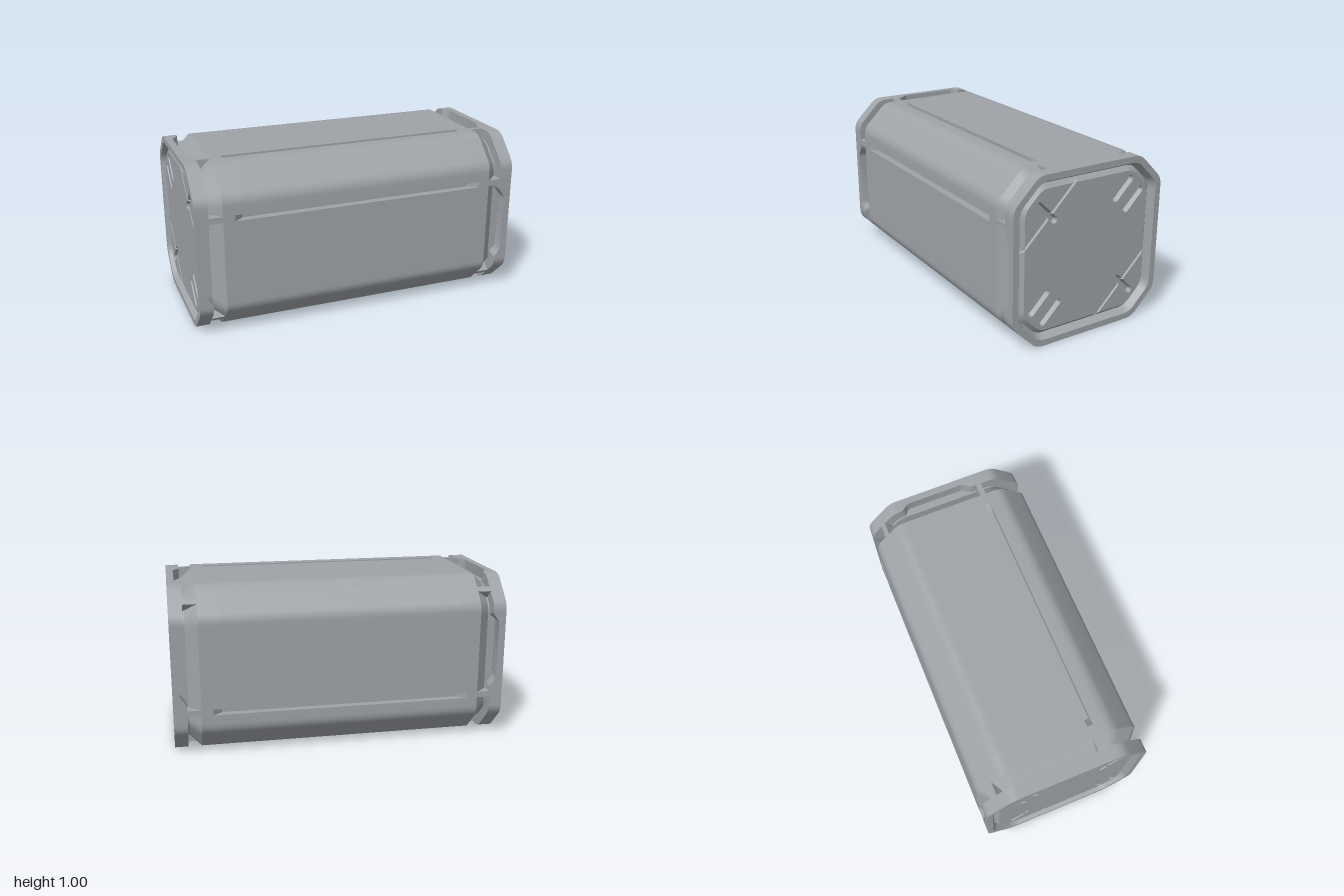
import * as THREE from 'three';
import { toCreasedNormals } from 'three/addons/utils/BufferGeometryUtils.js';

const steel = new THREE.MeshStandardMaterial({ color: 0x9fa3a8 });
const steelOpen = new THREE.MeshStandardMaterial({ color: 0x9fa3a8, side: THREE.DoubleSide });

const R = 0.1;                 // corner rounding
const T8 = Math.tan(Math.PI / 8);
const PANEL_X = 0.98, PANEL_INSET = 0.085, POCKET = 0.025;
const LINE_W = 0.0113;         // half width of the diagonal line at the panel edge

// Rounded octagon in (a = -z, b = y - 0.5). Each point carries its inset direction
// (ma, mb), a notch amount for the end frames and flags for slots, bridges and lines.
function outline() {
  const pts = [];
  for (let k = 0; k < 8; k++) {
    const th = k * Math.PI / 4, c = Math.cos(th), s = Math.sin(th);
    const flat = k % 2 === 0, flip = k % 4 === 0 ? -1 : 1;
    const d = flat ? 0.5 : 0.84 / Math.SQRT2;
    const h = (flat ? 0.34 : 0.16 / Math.SQRT2) - R * T8;
    const lim = flat ? 0.2425 : 0.0175;
    const strip = (m, w, slot) => [
      [m - w, {}], [m - w, { bridge: true, slot }], [m + w, { bridge: true, slot }], [m + w, {}]];
    const line = o => [0.0984 + o, { notch: 1, deep: o === 0, slide: flip * (-0.025 - o) }];
    const notch = o => [o - 0.055, { notch: 1 - THREE.MathUtils.smoothstep(Math.abs(o), 0.17, 0.24) }];
    let list = [[-h, {}]];
    if (flat) {
      list.push(...[-0.24, -0.225, -0.21, -0.19, -0.17].map(notch));
      list.push(...[-LINE_W, 0, LINE_W].map(line));
      list.push(...[0.17, 0.19, 0.21, 0.225, 0.24].map(notch));
      list.push(...strip(0.225, 0.0175, true));
    } else if (k % 4 === 1) list.push(...strip(0, 0.0175, false));
    list.push([h, {}]);
    if (flip < 0) list = list.reverse().map(([t, e]) => [-t, e]);
    for (const [t, e] of list) {
      // points near a corner drift inward so the rounding stays constant
      const g = Math.sign(t) * T8 * THREE.MathUtils.clamp((Math.abs(t) - lim) / (h - lim), 0, 1);
      pts.push({ a: d * c - t * s, b: d * s + t * c, ma: c - g * s, mb: s + g * c, ta: -s, tb: c, ...e });
    }
    // rounded corner to the next face
    const ca = (d - R) * c - h * s, cb = (d - R) * s + h * c, mid = th + Math.PI / 8;
    const reach = 1 / Math.cos(Math.PI / 8);
    for (let i = 1; i < 6; i++) {
      const f = th + i / 6 * Math.PI / 4;
      pts.push({ a: ca + R * Math.cos(f), b: cb + R * Math.sin(f),
        ma: reach * Math.cos(mid), mb: reach * Math.sin(mid) });
    }
  }
  return pts;
}

const inset = (p, d, slide = 0) => [
  p.a - d * p.ma + (slide ? slide * p.ta : 0), p.b - d * p.mb + (slide ? slide * p.tb : 0)];

// Shell: stations run from the end panel edge, over the rim and groove, to the middle
function shellGeometry(pts) {
  const wallX = p => 0.92 + 0.037 * (p.notch || 0);
  const groove = p => (p.bridge ? 0 : 0.065);
  const half = [
    p => [p.deep ? PANEL_X - POCKET : PANEL_X, PANEL_INSET],
    p => [PANEL_X - POCKET, 0.06, p.slide],
    () => [1, 0.037],
    () => [1, 0],
    p => [wallX(p), 0],
    p => [wallX(p), groove(p)],
    p => [0.91, groove(p)],
    () => [0.84, 0],
    () => [0.77, 0],
    p => [0.718, p.slot ? 0.045 : 0],
  ];
  const mirrored = [...half].reverse().map(f => p => { const [x, ...rest] = f(p); return [-x, ...rest]; });
  const grid = [...half, ...mirrored].map(f => pts.map(p => {
    const [x, d, slide] = f(p), [a, b] = inset(p, d, slide);
    return new THREE.Vector3(x, b + 0.5, -a);
  }));
  const pos = [], u = new THREE.Vector3(), v = new THREE.Vector3();
  const tri = (A, B, C) => {
    if (u.subVectors(B, A).cross(v.subVectors(C, A)).length() > 1e-8)
      for (const P of [A, B, C]) pos.push(P.x, P.y, P.z);
  };
  for (let i = 0; i + 1 < grid.length; i++)
    for (let j = 0; j < pts.length; j++) {
      const k = (j + 1) % pts.length;
      tri(grid[i][j], grid[i + 1][j], grid[i][k]);
      tri(grid[i][k], grid[i + 1][j], grid[i + 1][k]);
    }
  const g = new THREE.BufferGeometry();
  g.setAttribute('position', new THREE.Float32BufferAttribute(pos, 3));
  return toCreasedNormals(g, 0.4);
}

// Half circle cap points around (0, w)
const arc = (w, r, from) => Array.from({ length: 9 }, (_, i) => {
  const f = from + i / 8 * Math.PI;
  return [r * Math.cos(f), w + r * Math.sin(f)];
});
// Capsule running along the second axis
const capsule = (w0, w1, r) => [...arc(w1, r, 0), ...arc(w0, r, Math.PI)];
// Capsule crossed by a long thin line whose ends follow the panel edges
const crossed = (w0, w1, r, h, len) => [
  [len + h, -h], [len - h, h], [r, h], ...arc(w1, r, 0), [-r, h], [-len + h, h],
  [-len - h, -h], [-r, -h], ...arc(w0, r, Math.PI), [r, -h]];

// Places local (q, p) points with p pointing outward along a diagonal angle
const place = (list, angle, q0, p0, side) => list.map(([q, p]) => {
  const P = p + p0, Q = q + q0, c = Math.cos(angle), s = Math.sin(angle);
  return new THREE.Vector2(side * (P * c - Q * s), P * s + Q * c);
});

function endPanel(pts, side) {
  const group = new THREE.Group();
  const rim = pts.filter(p => !p.bridge).map(p => inset(p, PANEL_INSET));
  const shape = new THREE.Shape(rim.map(([a, b]) => new THREE.Vector2(side * a, b)));
  const pockets = [];
  for (const turn of [0, Math.PI]) {
    for (const q of [-0.054, 0.054])
      pockets.push([0.021, 0.01].map(r => place(capsule(-0.07, 0.07, r), Math.PI / 4 + turn, q, 0.393, side)));
    pockets.push([[0.021, 0.008], [0.01, 0.001]].map(([r, h]) =>
      place(crossed(-0.04, 0.098, r, h, 0.2232), Math.PI * 0.75 + turn, 0, 0.363, side)));
  }
  for (const [outer, inner] of pockets) {
    shape.holes.push(new THREE.Path(outer));
    // sloped pocket wall
    const pos = [];
    outer.forEach((o, i) => {
      const k = (i + 1) % outer.length, o2 = outer[k], n = inner[i], n2 = inner[k];
      pos.push(o.x, o.y, 0, o2.x, o2.y, 0, n.x, n.y, -POCKET,
        o2.x, o2.y, 0, n2.x, n2.y, -POCKET, n.x, n.y, -POCKET);
    });
    const g = new THREE.BufferGeometry();
    g.setAttribute('position', new THREE.Float32BufferAttribute(pos, 3));
    const wall = new THREE.Mesh(toCreasedNormals(g, 0.5), steelOpen);
    wall.name = 'pocketWall';
    const floor = new THREE.Mesh(new THREE.ShapeGeometry(new THREE.Shape(inner)), steel);
    floor.position.z = -POCKET;
    floor.name = 'pocketFloor';
    group.add(wall, floor);
  }
  const face = new THREE.Mesh(new THREE.ShapeGeometry(shape), steel);
  face.name = 'panelFace';
  group.add(face);
  group.rotation.y = side * Math.PI / 2;
  group.position.set(side * PANEL_X, 0.5, 0);
  group.name = side > 0 ? 'leftEndPanel' : 'rightEndPanel';
  return group;
}

export function createModel() {
  const model = new THREE.Group();
  model.name = 'container';
  const pts = outline();
  const shell = new THREE.Mesh(shellGeometry(pts), steel);
  shell.name = 'shell';
  model.add(shell, endPanel(pts, 1), endPanel(pts, -1));
  return model;
}
